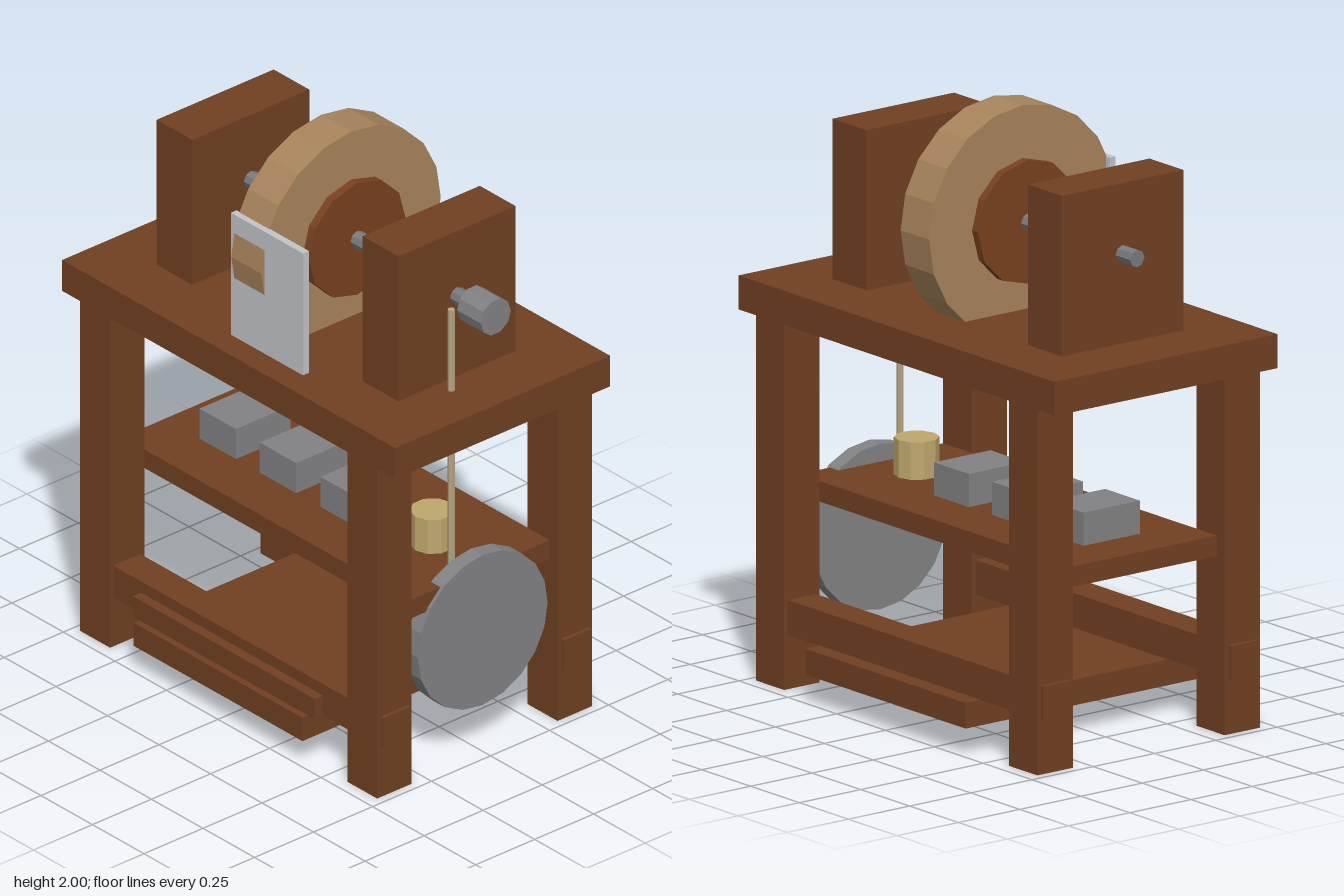
import * as THREE from 'three';

const mat = (name, color) => {
  const m = new THREE.MeshStandardMaterial({ color, flatShading: true });
  m.name = name;
  return m;
};

export function createModel() {
  const wood = mat('brown wood', 0x704022);
  const hubWood = mat('hub wood', 0x78411f);
  const stone = mat('tan stone', 0xa8845c);
  const iron = mat('grey iron', 0x828284);
  const steel = mat('axle steel', 0x787a7d);
  const plate = mat('pale plate', 0xc3c4c8);
  const brass = mat('pale brass', 0xbfa76c);
  const rodMat = mat('rod', 0xb5a582);

  const model = new THREE.Group();
  model.name = 'grindingBench';

  const add = (name, geometry, material, x, y, z) => {
    const mesh = new THREE.Mesh(geometry, material);
    mesh.name = name;
    mesh.position.set(x, y, z);
    model.add(mesh);
    return mesh;
  };
  // Box given by its extents on each axis
  const box = (name, material, [x0, x1], [y0, y1], [z0, z1]) =>
    add(name, new THREE.BoxGeometry(x1 - x0, y1 - y0, z1 - z0), material,
      (x0 + x1) / 2, (y0 + y1) / 2, (z0 + z1) / 2);
  // Cylinder lying along x
  const disc = (name, material, [x0, x1], r, y, sides) =>
    add(name, new THREE.CylinderGeometry(r, r, x1 - x0, sides).rotateZ(Math.PI / 2),
      material, (x0 + x1) / 2, y, 0);

  // Bench frame
  box('tableTop', wood, [-0.808, 0.808], [1.21, 1.323], [-0.455, 0.455]);
  for (const sx of [-1, 1]) {
    for (const sz of [-1, 1]) {
      add('leg', new THREE.BoxGeometry(0.145, 1.21, 0.145), wood, sx * 0.648, 0.605, sz * 0.382);
    }
    // Bearing block for the axle
    add('bearingBlock', new THREE.BoxGeometry(0.173, 0.533, 0.496), wood, sx * 0.5, 1.588, 0);
    add('stretcher', new THREE.BoxGeometry(1.47, 0.115, 0.115), wood, 0, 0.238, sx * 0.383);
  }
  box('shelf', wood, [-0.7, 0.7], [0.592, 0.66], [-0.294, 0.294]);

  // Foot treadle with its front bar
  box('treadle', wood, [-0.41, 0.41], [0.095, 0.18], [-0.5, 0.5]);
  box('treadleBar', wood, [-0.441, 0.441], [0.18, 0.254], [0.4, 0.476]);

  // Grinding wheel, hub and axle
  disc('grindingWheel', stone, [-0.073, 0.073], 0.38, 1.62, 20);
  disc('wheelHub', hubWood, [-0.103, 0.103], 0.205, 1.62, 12);
  disc('axle', steel, [-0.662, 0.67], 0.029, 1.62, 8);
  disc('crankHub', iron, [0.66, 0.775], 0.064, 1.62, 10);
  box('splashGuard', plate, [-0.09, 0.26], [1.32, 1.77], [0.342, 0.367]);

  // Drive rod and flywheel
  add('driveRod', new THREE.CylinderGeometry(0.012, 0.012, 1.17, 6), rodMat, 0.643, 1.035, 0.073);
  disc('flywheel', iron, [0.655, 0.712], 0.275, 0.445, 20);

  // Things on the shelf
  for (const x of [-0.442, -0.15, 0.145]) {
    add('whetstone', new THREE.BoxGeometry(0.177, 0.11, 0.23), iron, x, 0.715, 0);
  }
  add('pot', new THREE.CylinderGeometry(0.073, 0.073, 0.124, 10), brass, 0.468, 0.722, 0);

  return model;
}
